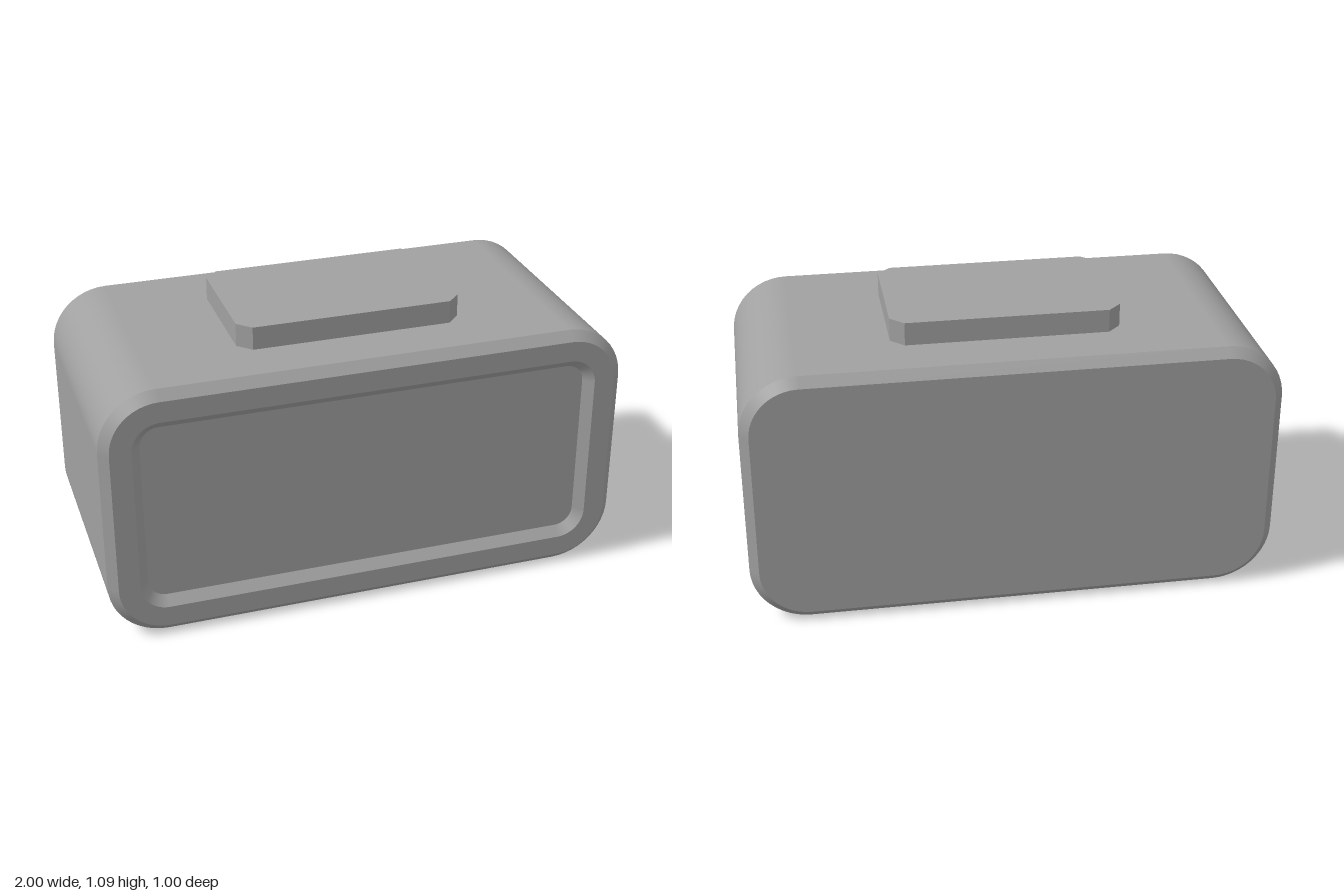
import * as THREE from 'three';

const HALF_W = 1, HALF_H = 0.5, RADIUS = 0.22, STEPS = 12;

// Rounded-rectangle outline, counter-clockwise: points with outward normals
function outline(inset) {
  const r = RADIUS - inset, points = [];
  const corners = [[1, 1], [-1, 1], [-1, -1], [1, -1]];
  corners.forEach(([sx, sy], k) => {
    for (let i = 0; i <= STEPS; i++) {
      const a = (k + i / STEPS) * Math.PI / 2;
      const nx = Math.cos(a), ny = Math.sin(a);
      points.push({
        x: sx * (HALF_W - RADIUS) + r * nx,
        y: sy * (HALF_H - RADIUS) + r * ny, nx, ny,
      });
    }
  });
  return points;
}

// Closed band between two profile stations [inset, z]
function band([i0, z0], [i1, z1]) {
  const a = outline(i0), b = outline(i1), n = a.length;
  const dz = z1 - z0, di = i1 - i0, len = Math.hypot(dz, di);
  const pos = [], nor = [], idx = [];
  for (let k = 0; k < n; k++) {
    pos.push(a[k].x, a[k].y, z0, b[k].x, b[k].y, z1);
    for (let s = 0; s < 2; s++) nor.push(a[k].nx * dz / len, a[k].ny * dz / len, di / len);
    const p = 2 * k, q = 2 * ((k + 1) % n);
    idx.push(p, q, q + 1, p, q + 1, p + 1);
  }
  const g = new THREE.BufferGeometry();
  g.setAttribute('position', new THREE.Float32BufferAttribute(pos, 3));
  g.setAttribute('normal', new THREE.Float32BufferAttribute(nor, 3));
  g.setIndex(idx);
  return g;
}

// Flat panel filling the outline at a given inset
function panel(inset) {
  return new THREE.ShapeGeometry(new THREE.Shape(outline(inset).map(p => new THREE.Vector2(p.x, p.y))));
}

export function createModel() {
  const model = new THREE.Group();
  model.name = 'roundedBoxWithButton';
  const grey = new THREE.MeshStandardMaterial({ color: 0xa0a0a0 });
  grey.name = 'grey';
  const add = (name, geometry, parent) => {
    const mesh = new THREE.Mesh(geometry, grey);
    mesh.name = name;
    parent.add(mesh);
    return mesh;
  };

  // Housing: profile runs from the back edge to the recessed front panel
  const housing = new THREE.Group();
  housing.name = 'housing';
  housing.position.y = HALF_H;
  model.add(housing);
  const profile = [[0.035, -0.5], [0, -0.465], [0, 0.465], [0.035, 0.5], [0.115, 0.5], [0.15, 0.465]];
  const names = ['backChamfer', 'shell', 'frontChamfer', 'frontRim', 'recessBevel'];
  names.forEach((name, i) => add(name, band(profile[i], profile[i + 1]), housing));

  add('frontPanel', panel(0.15), housing).position.z = 0.465;
  const back = add('backPanel', panel(0.035), housing);
  back.rotation.y = Math.PI;
  back.position.z = -0.5;

  // Top button: plate with clipped corners
  const w = 0.43, d = 0.27, c = 0.05;
  const plate = new THREE.Shape([
    [w, -d + c], [w, d - c], [w - c, d], [-w + c, d],
    [-w, d - c], [-w, -d + c], [-w + c, -d], [w - c, -d],
  ].map(([x, y]) => new THREE.Vector2(x, y)));
  const button = add('topButton', new THREE.ExtrudeGeometry(plate, { depth: 0.088, bevelEnabled: false }), model);
  button.rotation.x = -Math.PI / 2;
  button.position.y = 1;

  return model;
}
